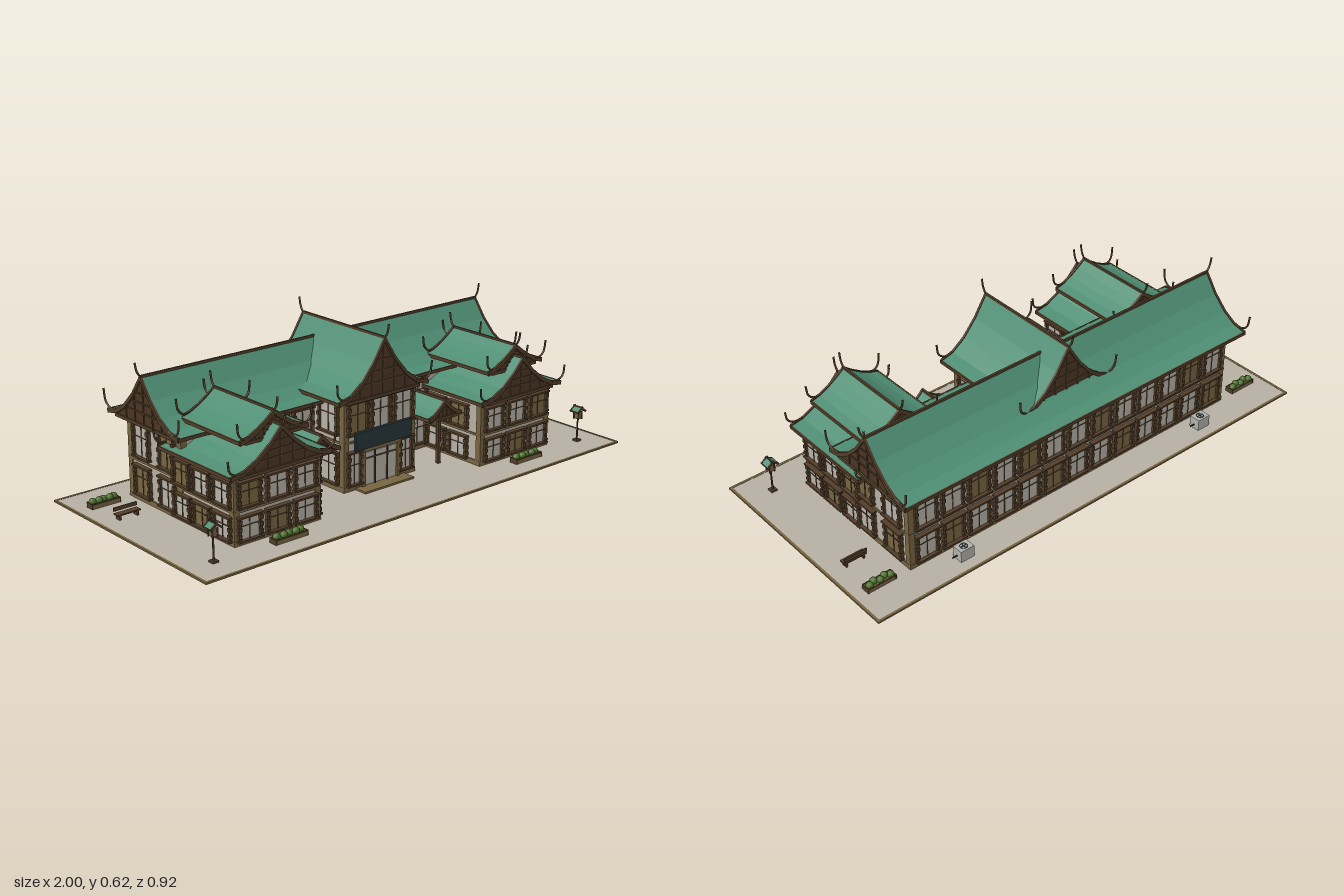
import * as THREE from 'three';

const mat = (name, color) => Object.assign(new THREE.MeshStandardMaterial({ color }), { name });
const M = {
  stone: mat('stone', 0xb5aea3), glass: mat('pale glass', 0xb5b0a7), ochre: mat('ochre wood', 0x776441),
  dark: mat('dark timber', 0x523d28), gable: mat('gable boards', 0x4b3523), roof: mat('green tile', 0x4e8d73),
  slate: mat('slate', 0x263539), leaf: mat('leaf', 0x4c6f2a), metal: mat('metal', 0xb0afa9),
};
const unit = new THREE.BoxGeometry(1, 1, 1);

function add(parent, name, geo, m, x = 0, y = 0, z = 0) {
  const o = new THREE.Mesh(geo, m);
  o.name = name;
  o.position.set(x, y, z);
  parent.add(o);
  return o;
}
function box(parent, name, m, w, h, d, x, y, z) {
  const o = add(parent, name, unit, m, x, y, z);
  o.scale.set(w, h, d);
  return o;
}
function group(parent, name, x = 0, y = 0, z = 0, ry = 0) {
  const g = new THREE.Group();
  g.name = name;
  g.position.set(x, y, z);
  g.rotation.y = ry;
  parent.add(g);
  return g;
}

// Upturned finial following a few points
function horn(parent, pts) {
  const c = new THREE.CatmullRomCurve3(pts.map(p => new THREE.Vector3(...p)));
  add(parent, 'horn', new THREE.TubeGeometry(c, 10, 0.004, 5), M.dark);
}

// Gable roof in four flaring planes a side, ridge along local z from z0 to z1
function gableRoof(parent, { half, ridge, eave, z0, z1, horns = 0.075, power = 1.9 }) {
  const N = 4, len = z1 - z0, mid = (z0 + z1) / 2;
  const yAt = x => eave + (ridge - eave) * Math.pow(1 - Math.min(1, Math.abs(x) / half), power);
  const curve = (w, dy) => Array.from({ length: 2 * N + 1 }, (_, i) => {
    const x = w * (i / N - 1);
    return new THREE.Vector2(x, yAt(x) + dy);
  });
  const strip = (up, down, d) => new THREE.ExtrudeGeometry(
    new THREE.Shape([...curve(half, -down), ...curve(half, up).reverse()]), { depth: d, bevelEnabled: false });
  add(parent, 'roofTiles', strip(0, 0.01, len), M.roof, 0, 0, z0);
  const barge = strip(0.004, 0.014, 0.009);
  const base = eave - 0.016, gw = half * 0.82;
  const panel = new THREE.ExtrudeGeometry(new THREE.Shape([
    new THREE.Vector2(gw, base), ...curve(gw, -0.006).reverse(), new THREE.Vector2(-gw, base)]),
    { depth: 0.012, bevelEnabled: false });
  for (const s of [-1, 1]) {
    const z = s > 0 ? z1 : z0, zf = z - s * 0.009;
    add(parent, 'bargeboard', barge, M.dark, 0, 0, s > 0 ? z1 - 0.007 : z0 - 0.002);
    add(parent, 'gablePanel', panel, M.gable, 0, 0, s > 0 ? z1 - 0.022 : z0 + 0.01);
    // Timber decoration on the gable
    box(parent, 'tieBeam', M.dark, gw * 2, 0.012, 0.01, 0, base + 0.004, zf);
    for (const f of [0.2, 0.4, 0.6]) {
      const y = eave + (ridge - eave) * f;
      const w = half * (1 - Math.pow(f, 1 / power)) * 2 - 0.01;
      box(parent, 'gableBatten', M.dark, w, 0.005, 0.004, 0, y, zf);
    }
    for (const f of [-0.5, -0.25, 0, 0.25, 0.5]) {
      const h = yAt(f * half) - 0.012 - base;
      box(parent, 'gableStud', M.dark, 0.005, h, 0.004, f * half, base + h / 2, zf);
    }
    if (!horns) continue;
    horn(parent, [[0, ridge - 0.004, z - s * 0.004], [0, ridge + 0.022, z + s * 0.012], [0, ridge + 0.055, z + s * 0.019]]);
    for (const e of [-1, 1]) horn(parent, [[e * half * 0.72, yAt(half * 0.72), z], [e * half * 0.9, eave + 0.008, z],
      [e * (half + 0.006), eave + horns * 0.35, z + s * 0.002], [e * (half + 0.014), eave + horns, z + s * 0.004]]);
  }
  box(parent, 'ridgeBeam', M.dark, 0.008, 0.009, len, 0, ridge, mid);
  for (const e of [-1, 1]) box(parent, 'eaveBoard', M.dark, 0.006, 0.013, len, e * half, eave - 0.005, mid);
}

// Window in a heavy timber frame with a cross bar, facing local +z
function windowAt(parent, u, y, w, h, m) {
  const g = group(parent, 'window', u, y, 0);
  box(g, 'pane', m, w, h, 0.006, 0, 0, 0.002);
  for (const s of [-1, 1]) {
    box(g, 'jamb', M.dark, 0.011, h + 0.007, 0.014, s * (w / 2 + 0.003), 0, 0.005);
    for (const f of [-0.3, 0, 0.3]) box(g, 'jambBlock', M.dark, 0.014, 0.014, 0.019, s * (w / 2 + 0.004), f * h, 0.006);
    box(g, 'rail', M.dark, w + 0.024, 0.007, 0.022, 0, s * h / 2, 0.008);
  }
  box(g, 'mullion', M.dark, 0.003, h, 0.009, 0, 0, 0.003);
  box(g, 'transom', M.dark, w, 0.003, 0.009, 0, h * 0.1, 0.003);
}
// Rows of windows: us = centres, rows = [y, height], ochre = indices of timber shutters
function facade(parent, name, x, z, ry, us, w, rows, ochre = []) {
  const g = group(parent, name, x, 0, z, ry);
  rows.forEach(([y, h], r) => us.forEach((u, i) =>
    windowAt(g, u, y, w, h, ochre.includes(r * us.length + i) ? M.ochre : M.glass)));
}

// Wall block with plinth, storey belt and corner posts
function block(parent, name, x0, x1, z0, z1, top, belt) {
  const g = group(parent, name, (x0 + x1) / 2, 0, (z0 + z1) / 2), w = x1 - x0, d = z1 - z0;
  box(g, 'walls', M.stone, w, top - 0.008, d, 0, (top + 0.008) / 2, 0);
  box(g, 'plinth', M.ochre, w + 0.01, 0.02, d + 0.01, 0, 0.018, 0);
  box(g, 'belt', M.ochre, w + 0.01, 0.008, d + 0.01, 0, belt, 0);
  box(g, 'topBeam', M.ochre, w + 0.01, 0.012, d + 0.01, 0, top - 0.006, 0);
  for (const sx of [-1, 1]) for (const sz of [-1, 1])
    box(g, 'cornerPost', M.ochre, 0.024, top - 0.01, 0.024, sx * (w / 2 - 0.008), top / 2 + 0.004, sz * (d / 2 - 0.008));
}

function planter(parent, x, z, w) {
  const g = group(parent, 'planter', x, 0.008, z);
  box(g, 'planterBox', M.ochre, w, 0.018, 0.034, 0, 0.009, 0);
  for (const s of [-1, 1]) {
    box(g, 'planterRim', M.dark, w + 0.004, 0.005, 0.004, 0, 0.018, s * 0.017);
    box(g, 'planterEnd', M.dark, 0.004, 0.02, 0.036, s * w / 2, 0.01, 0);
  }
  const bush = new THREE.IcosahedronGeometry(0.014, 1);
  for (let i = 0; i < 5; i++)
    add(g, 'bush', bush, M.leaf, (i - 2) * w * 0.19, 0.022 + (i % 2) * 0.003, (i % 2 - 0.5) * 0.008);
}
function lamp(parent, x, z) {
  const g = group(parent, 'lampPost', x, 0.008, z);
  box(g, 'lampFoot', M.dark, 0.024, 0.008, 0.024, 0, 0.004, 0);
  add(g, 'lampPole', new THREE.CylinderGeometry(0.003, 0.004, 0.1, 6), M.dark, 0, 0.05, 0);
  box(g, 'lantern', M.ochre, 0.02, 0.028, 0.022, 0, 0.108, 0);
  for (const a of [-1, 1]) {
    for (const b of [-1, 1]) box(g, 'lanternBar', M.dark, 0.005, 0.032, 0.005, a * 0.01, 0.108, b * 0.011);
    // Small two-sided lantern roof with crossed end boards
    box(g, 'lampRoof', M.roof, 0.028, 0.004, 0.036, a * 0.011, 0.133, 0).rotation.z = -a * 0.6;
    box(g, 'lampEave', M.dark, 0.004, 0.006, 0.04, a * 0.022, 0.125, 0);
    for (const b of [-1, 1])
      box(g, 'lampBarge', M.dark, 0.036, 0.007, 0.005, a * 0.009, 0.134, b * 0.019).rotation.z = -a * 0.6;
  }
  box(g, 'lampRidge', M.dark, 0.005, 0.005, 0.04, 0, 0.142, 0);
}
function bench(parent, x, z) {
  const g = group(parent, 'bench', x, 0.008, z);
  for (const s of [-1, 1]) box(g, 'benchLeg', M.dark, 0.007, 0.018, 0.024, s * 0.036, 0.009, 0);
  box(g, 'benchSeat', M.dark, 0.095, 0.005, 0.028, 0, 0.02, 0);
  box(g, 'benchBack', M.dark, 0.095, 0.014, 0.004, 0, 0.036, -0.013);
}
function airUnit(parent, x) {
  const g = group(parent, 'coolingUnit', x, 0.008, -0.386);
  box(g, 'unitBody', M.metal, 0.058, 0.046, 0.045, 0, 0.025, 0);
  add(g, 'fanRing', new THREE.TorusGeometry(0.014, 0.0015, 5, 16), M.slate, 0, 0.048, 0).rotation.x = Math.PI / 2;
  for (const r of [0, Math.PI / 2]) box(g, 'fanBlade', M.slate, 0.026, 0.002, 0.003, 0, 0.049, 0).rotation.y = r;
  box(g, 'unitPipe', M.slate, 0.024, 0.004, 0.004, 0.038, 0.02, 0);
}

export function createModel() {
  const root = new THREE.Group();
  root.name = 'roofedHall';
  const H = Math.PI / 2;

  // Paved ground with a timber rim
  box(root, 'pavement', M.stone, 1.99, 0.006, 0.91, 0, 0.006, 0);
  for (const s of [-1, 1]) {
    box(root, 'rim', M.ochre, 2, 0.007, 0.01, 0, 0.0065, s * 0.455);
    box(root, 'rim', M.ochre, 0.01, 0.007, 0.92, s * 0.995, 0.0065, 0);
  }

  // Long main hall
  const hall = group(root, 'mainHall');
  block(hall, 'hallWalls', -0.76, 0.76, -0.32, 0, 0.33, 0.16);
  const storeys = [[0.088, 0.11], [0.24, 0.125]];
  facade(hall, 'backWindows', 0, -0.32, Math.PI, Array.from({ length: 13 }, (_, i) => (i - 6) * 0.115), 0.08, storeys,
    [1, 5, 8, 12, 15, 17, 20, 24]);
  facade(hall, 'leftEndWindows', 0.76, -0.16, H, [-0.08, 0.075], 0.08, storeys, [1, 2]);
  facade(hall, 'rightEndWindows', -0.76, -0.16, -H, [-0.075, 0.08], 0.08, storeys, [0, 3]);
  for (const s of [-1, 1]) facade(hall, 'courtWindows', s * 0.285, 0, 0, [-0.055, 0.055], 0.075, storeys);
  gableRoof(group(hall, 'hallRoof', 0, 0, -0.16, H), { half: 0.215, ridge: 0.505, eave: 0.335, z0: -0.81, z1: 0.81, power: 2 });

  // Central entrance bay
  const bay = group(root, 'entranceBay');
  block(bay, 'bayWalls', -0.17, 0.17, -0.02, 0.165, 0.352, 0.195);
  facade(bay, 'bayUpperWindows', 0, 0.165, 0, [-0.11, 0, 0.11], 0.08, [[0.285, 0.12]], [0]);
  facade(bay, 'bayLowerWindows', 0, 0.165, 0, [-0.125, 0.125], 0.05, [[0.095, 0.125]]);
  for (const s of [-1, 1]) facade(bay, 'baySideWindows', s * 0.17, 0.085, s * H, [0], 0.09, [[0.095, 0.12], [0.285, 0.12]]);
  gableRoof(group(bay, 'bayRoof'), { half: 0.215, ridge: 0.567, eave: 0.364, z0: -0.27, z1: 0.193, horns: 0.075 });
  box(bay, 'signBoard', M.slate, 0.272, 0.068, 0.012, 0, 0.2, 0.186);
  box(bay, 'signBracket', M.dark, 0.24, 0.01, 0.02, 0, 0.2, 0.172);
  box(bay, 'entranceStep', M.ochre, 0.24, 0.013, 0.06, 0, 0.0095, 0.195);
  box(bay, 'stepFooting', M.ochre, 0.18, 0.01, 0.03, 0, 0.005, 0.165);
  box(bay, 'entranceDoor', M.glass, 0.15, 0.125, 0.01, 0, 0.08, 0.168);
  for (const x of [-0.085, -0.03, 0.03, 0.085]) {
    const outer = Math.abs(x) > 0.05;
    box(bay, 'doorPost', outer ? M.ochre : M.dark, outer ? 0.016 : 0.005, 0.145, 0.016, x, 0.085, 0.17);
  }
  box(bay, 'doorBar', M.dark, 0.15, 0.005, 0.012, 0, 0.12, 0.17);
  box(bay, 'doorLintel', M.ochre, 0.19, 0.012, 0.02, 0, 0.155, 0.172);

  for (const s of [-1, 1]) {
    // Forward wings with double-tiered roofs
    const wing = group(root, s > 0 ? 'leftWing' : 'rightWing');
    const xa = s * 0.395, xb = s * 0.76, cx = s * 0.58;
    block(wing, 'wingWalls', Math.min(xa, xb), Math.max(xa, xb), -0.035, 0.293, 0.258, 0.13);
    const rows = [[0.068, 0.085], [0.19, 0.09]];
    facade(wing, 'wingFrontWindows', cx, 0.293, 0, [-0.12, 0, 0.12], 0.082, rows, s > 0 ? [1, 5] : [1, 3]);
    facade(wing, 'wingOuterWindows', xb, 0.12, s * H, [-0.115, 0, 0.115], 0.082, rows, s > 0 ? [1, 5] : [1, 3]);
    facade(wing, 'wingCourtWindows', xa, 0.15, -s * H, [-0.09, 0.03], 0.082, rows, [3]);
    const roofs = group(wing, 'wingRoofs', cx);
    gableRoof(roofs, { half: 0.215, ridge: 0.408, eave: 0.27, z0: -0.09, z1: 0.328, horns: 0.065 });
    gableRoof(roofs, { half: 0.145, ridge: 0.448, eave: 0.368, z0: -0.05, z1: 0.288, horns: 0.07, power: 1.5 });

    // Small gabled porch on a single post between bay and wing
    const porch = group(root, 'porch', s * 0.3);
    gableRoof(porch, { half: 0.082, ridge: 0.268, eave: 0.208, z0: 0.0, z1: 0.2, horns: 0, power: 1.5 });
    box(porch, 'porchPost', M.dark, 0.013, 0.22, 0.013, 0, 0.118, 0.165);

    // Grounds
    lamp(root, s * 0.885, 0.345);
    bench(root, s * 0.885, -0.16);
    planter(root, s * 0.885, -0.31, 0.115);
    planter(root, s * 0.58, 0.358, 0.135);
    airUnit(root, s * 0.58);
  }
  return root;
}
